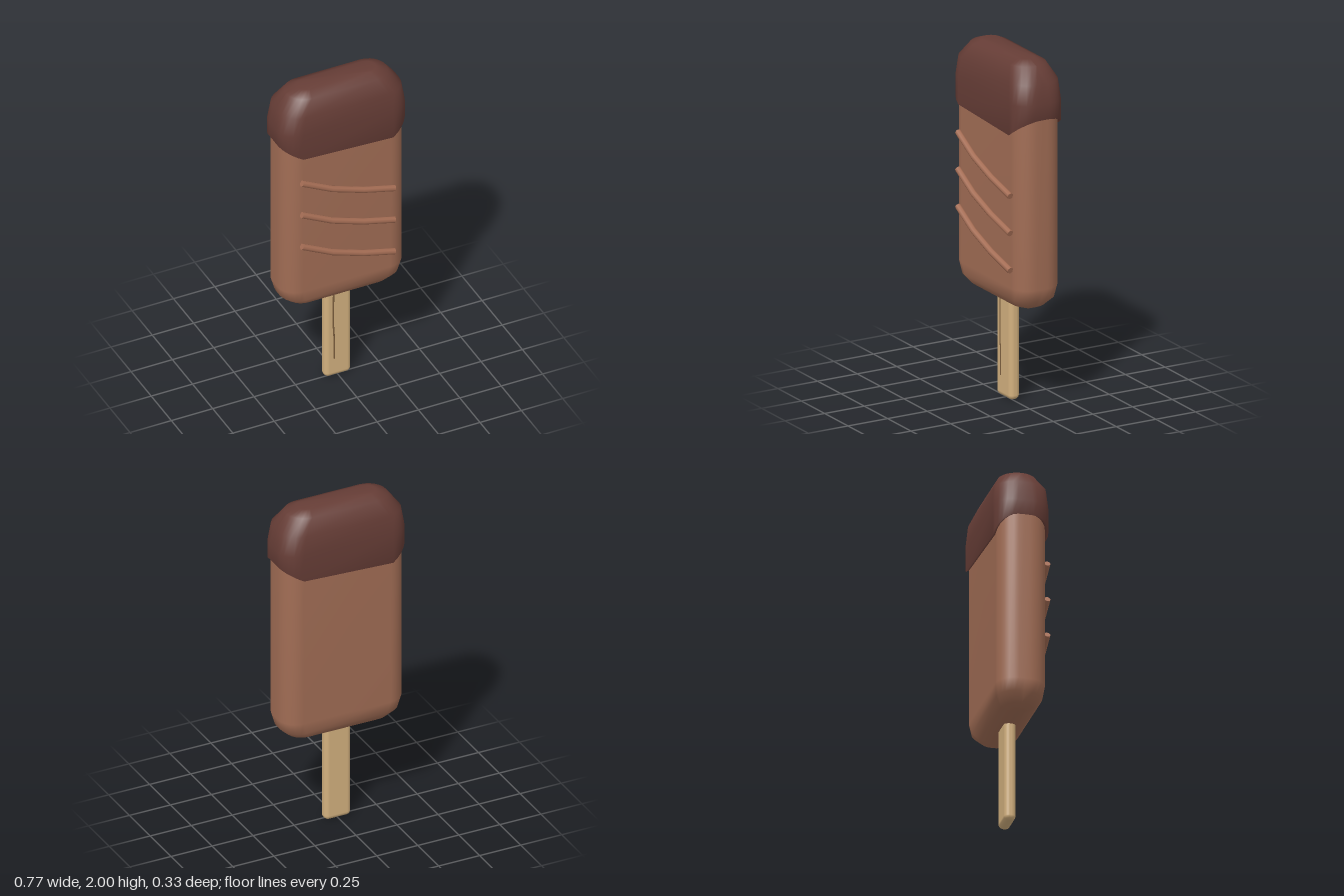
import * as THREE from 'three';
import { RoundedBoxGeometry } from 'three/addons/geometries/RoundedBoxGeometry.js';

const MID_Z = -0.01;
const ARC = 6;

const mat = (name, color) => {
  const m = new THREE.MeshStandardMaterial({ color });
  m.name = name;
  return m;
};

const add = (parent, name, geometry, material) => {
  const mesh = new THREE.Mesh(geometry, material);
  mesh.name = name;
  parent.add(mesh);
  return mesh;
};

// Rounded rectangle in the xz plane; yAt(sx, sz, t) gives the height, with t
// running from 0 on the front or back face to 1 at the middle of a side.
function ring(hx, hz, radius, yAt) {
  const r = Math.min(radius, hx, hz);
  const pts = [];
  [[1, 1], [-1, 1], [-1, -1], [1, -1]].forEach(([sx, sz], q) => {
    for (let i = 0; i <= ARC; i++) {
      const a = (q + i / ARC) * Math.PI / 2;
      const t = q % 2 === 0 ? 1 - i / ARC : i / ARC;
      pts.push([sx * (hx - r) + r * Math.cos(a), yAt(sx, sz, t * 0.9), MID_Z + sz * (hz - r) + r * Math.sin(a)]);
    }
    // extra point in the middle of each narrow side
    if (q % 2 === 1) pts.push([sx * hx, yAt(sx, sz, 1), MID_Z]);
  });
  // keep the two side midpoints matched: one after the -x front corner, one at the end
  return pts;
}

// Skin over rings listed from bottom to top, with flat ends where asked.
function loft(rings, closeBottom, closeTop) {
  const n = rings[0].length;
  const pos = rings.flat(2);
  const index = [];
  for (let k = 0; k < rings.length - 1; k++) {
    for (let i = 0; i < n; i++) {
      const j = (i + 1) % n;
      const a = k * n + i, b = k * n + j, c = a + n, d = b + n;
      index.push(a, c, b, b, c, d);
    }
  }
  const close = (k, up) => {
    const centre = pos.length / 3;
    pos.push(0, rings[k][0][1], MID_Z);
    for (let i = 0; i < n; i++) {
      const a = k * n + i, b = k * n + (i + 1) % n;
      index.push(centre, up ? b : a, up ? a : b);
    }
  };
  if (closeBottom) close(0, false);
  if (closeTop) close(rings.length - 1, true);
  const g = new THREE.BufferGeometry();
  g.setAttribute('position', new THREE.Float32BufferAttribute(pos, 3));
  g.setIndex(index);
  g.computeVertexNormals();
  return g;
}

// Straight-sided strand through a few points, with closed ends.
function strand(points, radius, sides, material, name) {
  const group = new THREE.Group();
  group.name = name;
  const curve = new THREE.CatmullRomCurve3(points.map(p => new THREE.Vector3(...p)));
  add(group, name + 'Tube', new THREE.TubeGeometry(curve, points.length - 1, radius, sides), material);
  for (const end of [0, 1]) {
    const disc = add(group, name + 'End', new THREE.CircleGeometry(radius, sides), material);
    const p = curve.getPoint(end);
    disc.position.copy(p);
    disc.lookAt(p.clone().addScaledVector(curve.getTangent(end), end ? 1 : -1));
  }
  return group;
}

export function createModel() {
  const model = new THREE.Group();
  model.name = 'iceCreamBar';
  const milk = mat('milkChocolate', 0xa06c54);
  const dark = mat('darkChocolate', 0x663d36);
  const drizzle = mat('drizzle', 0xa66e55);
  const wood = mat('wood', 0xd2b07e);
  const grain = mat('woodGrain', 0x7d5f3e);

  // Bar body, rounded at the bottom and running up inside the coating
  const bodyRings = [
    [0.24, 0.025, 0.573], [0.305, 0.092, 0.598], [0.352, 0.128, 0.645],
    [0.37, 0.1375, 0.715], [0.37, 0.1375, 1.76], [0.34, 0.11, 1.87],
  ].map(([hx, hz, y]) => ring(hx, hz, 0.105, () => y));
  add(model, 'barBody', loft(bodyRings, true, true), milk);

  // Dipped top coating with a lip that rises at the narrow sides
  const lip = (sx, sz, t) => {
    const low = sx * sz > 0 ? 1.596 : 1.62;
    return low + (1.69 - low) * Math.sin(t * Math.PI / 2);
  };
  const coatRings = [
    ring(0.368, 0.136, 0.105, (...a) => lip(...a) + 0.012),
    ring(0.383, 0.155, 0.112, lip),
    ...[[0.383, 0.155, 1.777], [0.366, 0.146, 1.89], [0.302, 0.105, 1.975], [0.235, 0.052, 2]]
      .map(([hx, hz, y]) => ring(hx, hz, 0.112, () => y)),
  ];
  add(model, 'topCoating', loft(coatRings, false, true), dark);

  // Three raised drizzle lines across the front
  for (let i = 0; i < 3; i++) {
    const y = 1.46 - i * 0.213;
    model.add(strand([
      [-0.28, y, 0.141], [-0.1, y - 0.09, 0.147], [0.1, y - 0.16, 0.147], [0.28, y - 0.21, 0.141],
    ], 0.018, 8, drizzle, 'drizzleLine'));
  }

  // Wooden stick
  add(model, 'stick', new RoundedBoxGeometry(0.16, 0.8, 0.064, 4, 0.027), wood)
    .position.set(0, 0.4, MID_Z);

  // Grain line on the front of the stick
  model.add(strand([
    [-0.03, 0.58, 0.021], [-0.032, 0.43, 0.021], [-0.031, 0.3, 0.021],
    [-0.026, 0.26, 0.021], [-0.026, 0.12, 0.021],
  ], 0.005, 5, grain, 'stickGrain'));

  return model;
}
